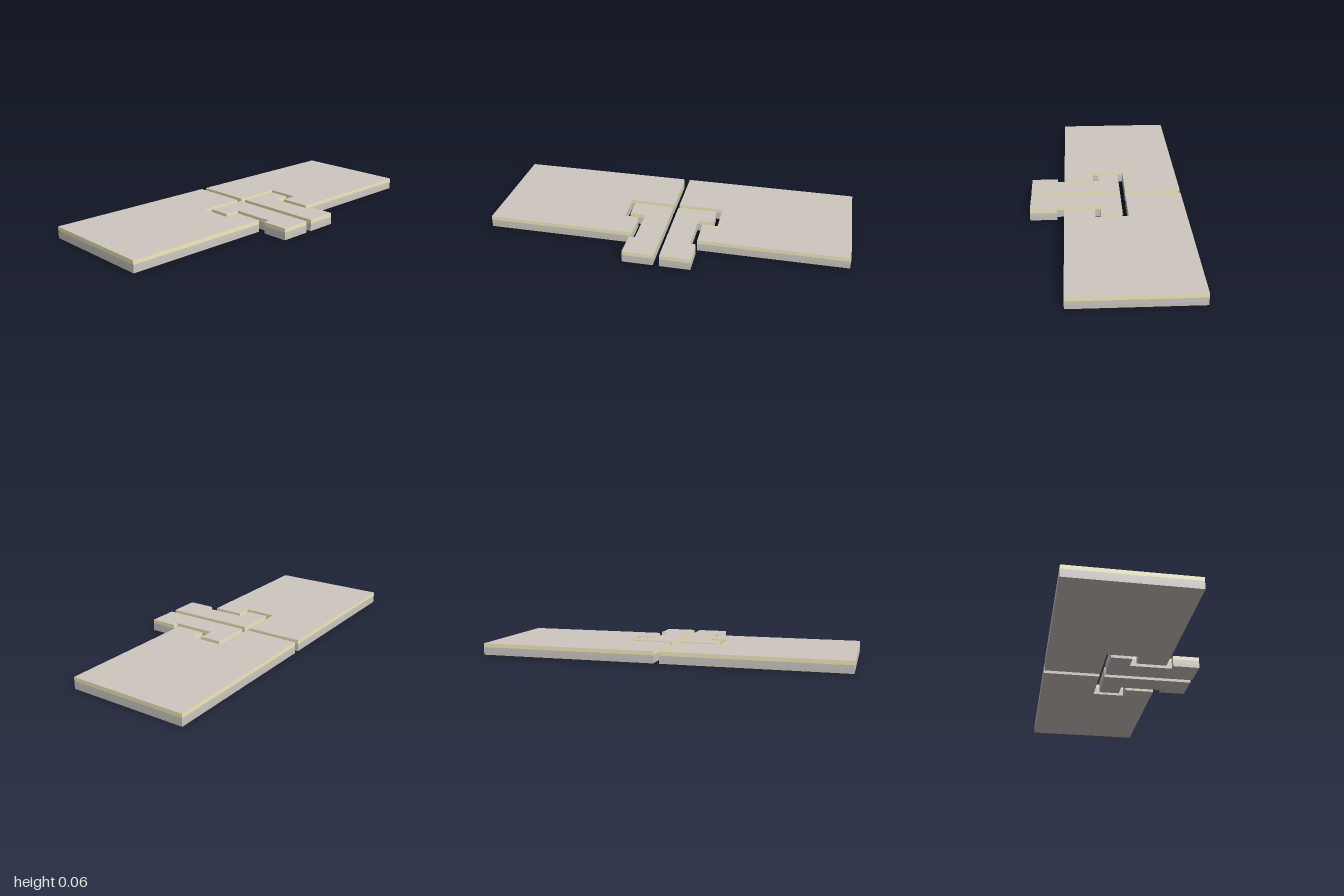
import * as THREE from 'three';

const HEIGHT = 0.064;
const GAP = 0.017; // half of the centre slot

const material = (color) => new THREE.MeshStandardMaterial({ color });
const base = material(0xcec7bf);
const core = material(0xcccccc);
const coat = material(0xf5ecb8);

// Slab from an [x, z] outline, its walls striped in three equal layers
function layeredSlab(outline, side) {
  const shape = new THREE.Shape(outline.map(([x, z]) => new THREE.Vector2(side * x, -z)));
  const geometry = new THREE.ExtrudeGeometry(shape, { depth: HEIGHT, steps: 3, bevelEnabled: false });
  geometry.rotateX(-Math.PI / 2);
  const [caps, walls] = geometry.groups;
  geometry.clearGroups();
  geometry.addGroup(caps.start, caps.count, 0);
  // Wall quads run from bottom to top along each edge
  for (let q = 0; q < walls.count / 6; q++) {
    geometry.addGroup(walls.start + q * 6, 6, q % 3);
  }
  return new THREE.Mesh(geometry, [base, core, coat]);
}

// Wide plate with a stepped pocket at its inner front corner
const plateOutline = [
  [GAP, -0.425], [1, -0.425], [1, 0.237], [0.185, 0.237],
  [0.185, 0.07], [0.27, 0.07], [0.27, -0.11], [GAP, -0.11],
];

// Half of the T-shaped tongue that sits in the pocket
const tongueOutline = [
  [GAP, -0.08], [0.238, -0.08], [0.238, 0.038], [0.151, 0.038],
  [0.151, 0.276], [0.185, 0.276], [0.185, 0.425], [GAP, 0.425],
];

export function createModel() {
  const model = new THREE.Group();
  model.name = 'splitPlate';
  for (const [label, side] of [['left', 1], ['right', -1]]) {
    const plate = layeredSlab(plateOutline, side);
    plate.name = label + 'Plate';
    const tongue = layeredSlab(tongueOutline, side);
    tongue.name = label + 'Tongue';
    model.add(plate, tongue);
  }
  return model;
}
